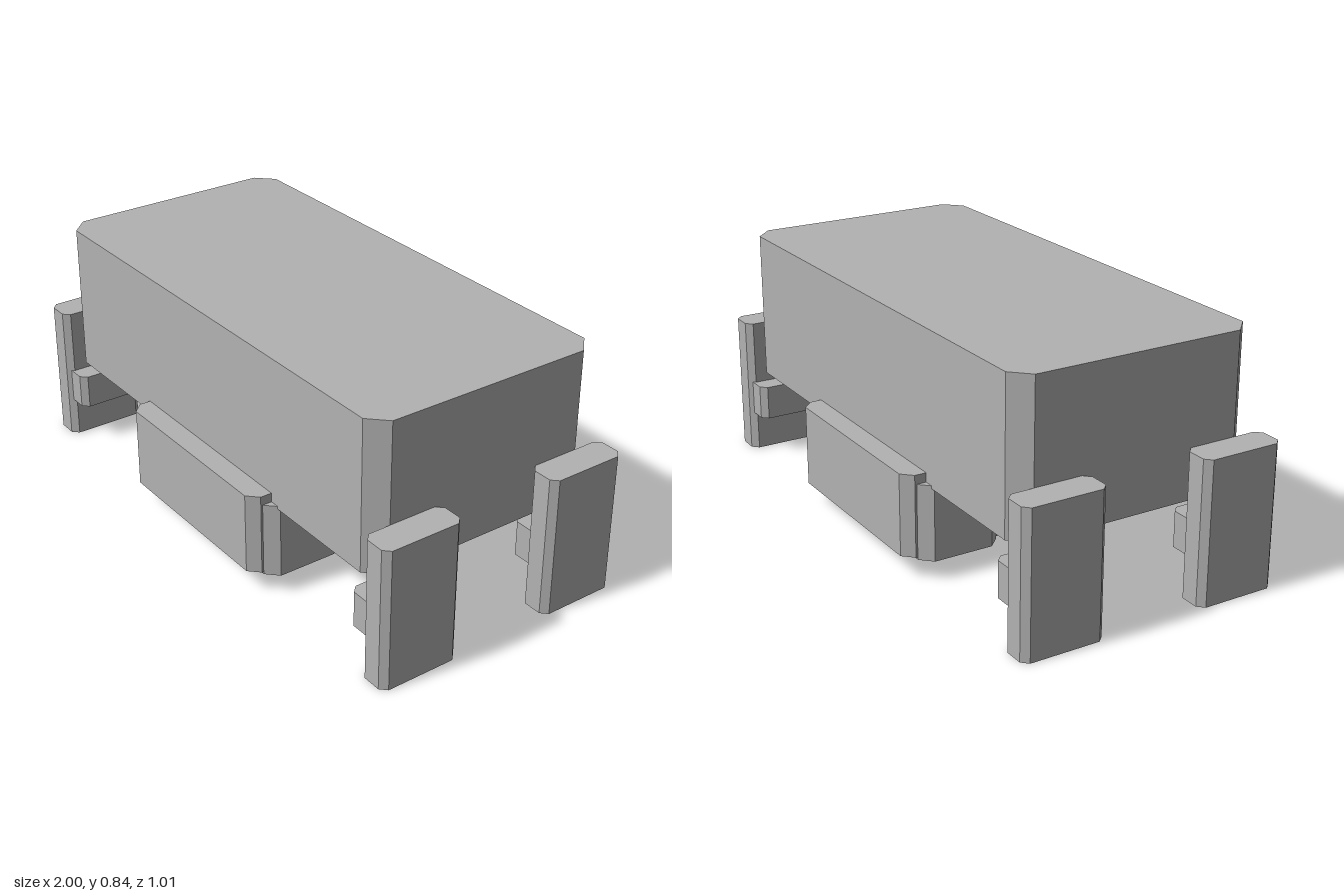
import * as THREE from 'three';

// Upright block whose four vertical edges are cut at 45 degrees
function chamferedBlock(name, material, [x0, x1], [y0, y1], [z0, z1], cut) {
  const w = (x1 - x0) / 2, d = (z1 - z0) / 2;
  const outline = new THREE.Shape([
    [w, -d + cut], [w, d - cut], [w - cut, d], [-w + cut, d],
    [-w, d - cut], [-w, -d + cut], [-w + cut, -d], [w - cut, -d],
  ].map(([x, z]) => new THREE.Vector2(x, z)));
  const geometry = new THREE.ExtrudeGeometry(outline, { depth: y1 - y0, bevelEnabled: false });
  geometry.rotateX(-Math.PI / 2);
  const mesh = new THREE.Mesh(geometry, material);
  mesh.name = name;
  mesh.position.set((x0 + x1) / 2, y0, (z0 + z1) / 2);
  return mesh;
}

export function createModel() {
  const group = new THREE.Group();
  group.name = 'blockModel';
  const grey = new THREE.MeshStandardMaterial({ color: 0xb2b2b2 });
  grey.name = 'plainGrey';

  const add = (...args) => group.add(chamferedBlock(args[0], grey, ...args.slice(1)));
  const span = (side, a, b) => (side > 0 ? [a, b] : [-b, -a]);

  // Main body and the block running through below it
  add('body', [-0.89, 0.89], [0.32, 0.842], [-0.428, 0.428], 0.06);
  add('lowerBlock', [-0.37, 0.37], [0.077, 0.362], [-0.505, 0.505], 0.036);

  for (const front of [1, -1]) {
    const end = front > 0 ? 'front' : 'back';
    // Cross blocks under the body
    add(`${end}CrossBlock`, [-0.41, 0.41], [0.068, 0.33], span(front, 0.17, 0.462), 0.04);

    for (const left of [1, -1]) {
      const corner = end + (left > 0 ? 'Left' : 'Right');
      // Standing foot at each corner with a small block on its inner face
      add(`${corner}Foot`, span(left, 0.89, 1), [0, 0.495], span(front, 0.178, 0.468), 0.022);
      add(`${corner}InnerBlock`, span(left, 0.815, 0.95), [0.142, 0.265], span(front, 0.192, 0.455), 0.022);
    }
  }
  return group;
}
